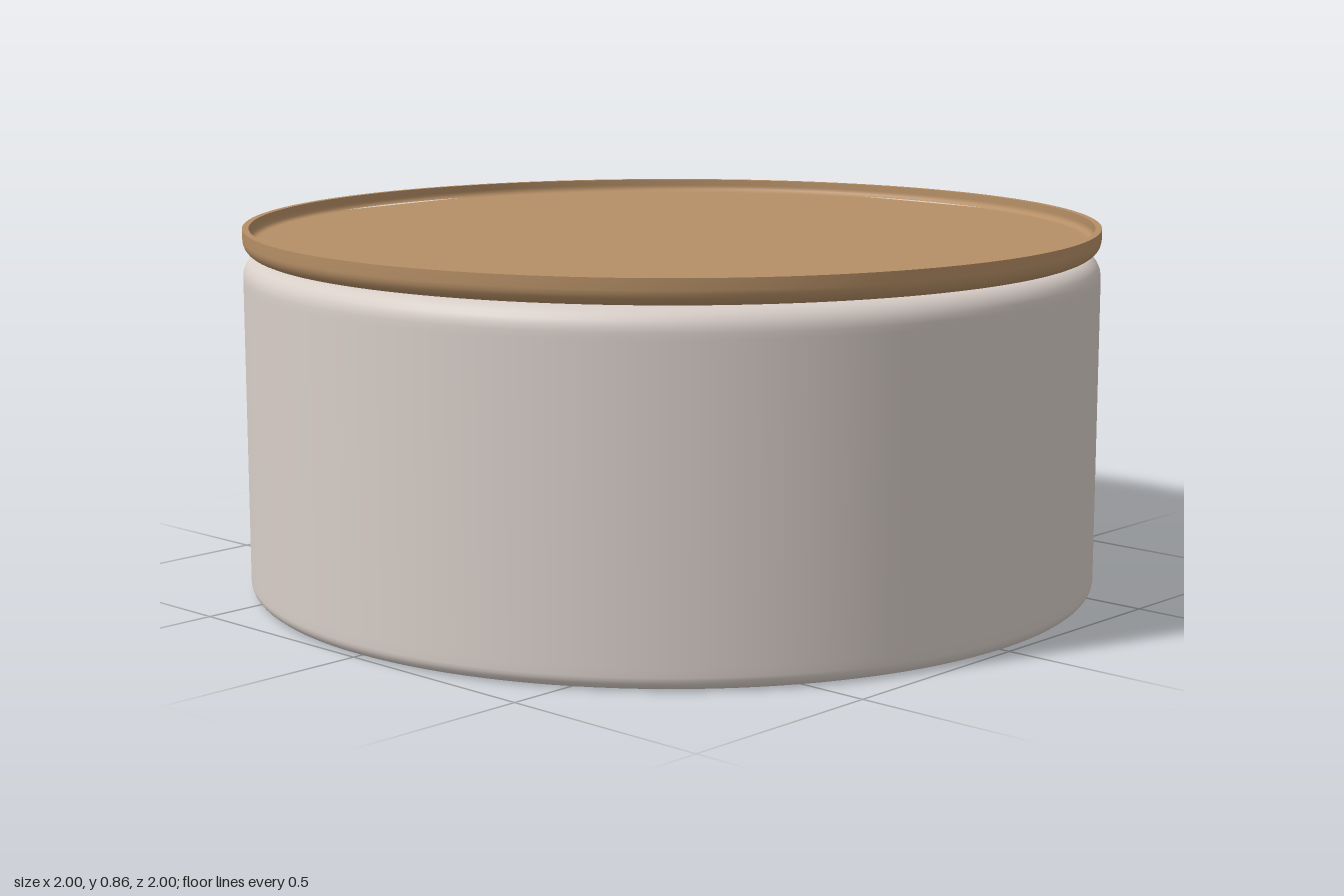
import * as THREE from 'three';

const SEGMENTS = 128;

// Quarter-round profile points about (cx, cy), from angle a0 to a1 in degrees
function arc(cx, cy, r, a0, a1, n = 6) {
  return Array.from({ length: n + 1 }, (_, i) => {
    const a = THREE.MathUtils.degToRad(a0 + ((a1 - a0) * i) / n);
    return [cx + r * Math.cos(a), cy + r * Math.sin(a)];
  });
}

export function createModel() {
  const group = new THREE.Group();
  const shell = new THREE.MeshStandardMaterial({ color: 0xd8cec8 });
  shell.name = 'pale grey';
  const tan = new THREE.MeshStandardMaterial({ color: 0xb68f66 });
  tan.name = 'tan';

  const add = (name, geometry, material) => {
    const mesh = new THREE.Mesh(geometry, material);
    mesh.name = name;
    group.add(mesh);
    return mesh;
  };
  const turn = (name, points, material) =>
    add(name, new THREE.LatheGeometry(points.map(([x, y]) => new THREE.Vector2(x, y)), SEGMENTS), material);

  // Round body with softened edges
  turn('bodyBottom', [[0, 0], [0.97, 0]], shell);
  turn('bodySide', [
    [0.96, 0], ...arc(0.97, 0.03, 0.03, -90, 0), [1, 0.05],
    [1, 0.73], ...arc(0.95, 0.745, 0.05, 0, 90), [0.93, 0.795],
  ], shell);
  turn('bodyTop', [[0.93, 0.795], [0, 0.795]], shell);

  // Shallow tray lid: rounded underside, thin upright lip, recessed floor
  turn('lidUnderside', [[0.9, 0.797], [0.96, 0.797], ...arc(0.965, 0.832, 0.035, -90, 0), [1, 0.857]], tan);
  turn('lidLip', [[1, 0.857], [0.985, 0.857]], tan);
  turn('lidInnerWall', [[0.985, 0.857], [0.985, 0.842], ...arc(0.97, 0.84, 0.015, 0, -90), [0.96, 0.825]], tan);
  turn('lidFloor', [[0.965, 0.825], [0, 0.825]], tan);

  // Pale slivers on the lid floor at the back and both sides
  const half = Math.asin(0.2 / 0.966);
  const sliver = new THREE.Shape();
  sliver.absarc(0, 0, 0.966, Math.PI / 2 - half, Math.PI / 2 + half, false);
  sliver.closePath();
  for (const [name, angle] of [['backSliver', 0], ['leftSliver', -Math.PI / 2], ['rightSliver', Math.PI / 2]]) {
    const geometry = new THREE.ShapeGeometry(sliver, 16);
    geometry.rotateX(-Math.PI / 2).rotateY(angle).translate(0, 0.828, 0);
    add(name, geometry, shell);
  }
  return group;
}
